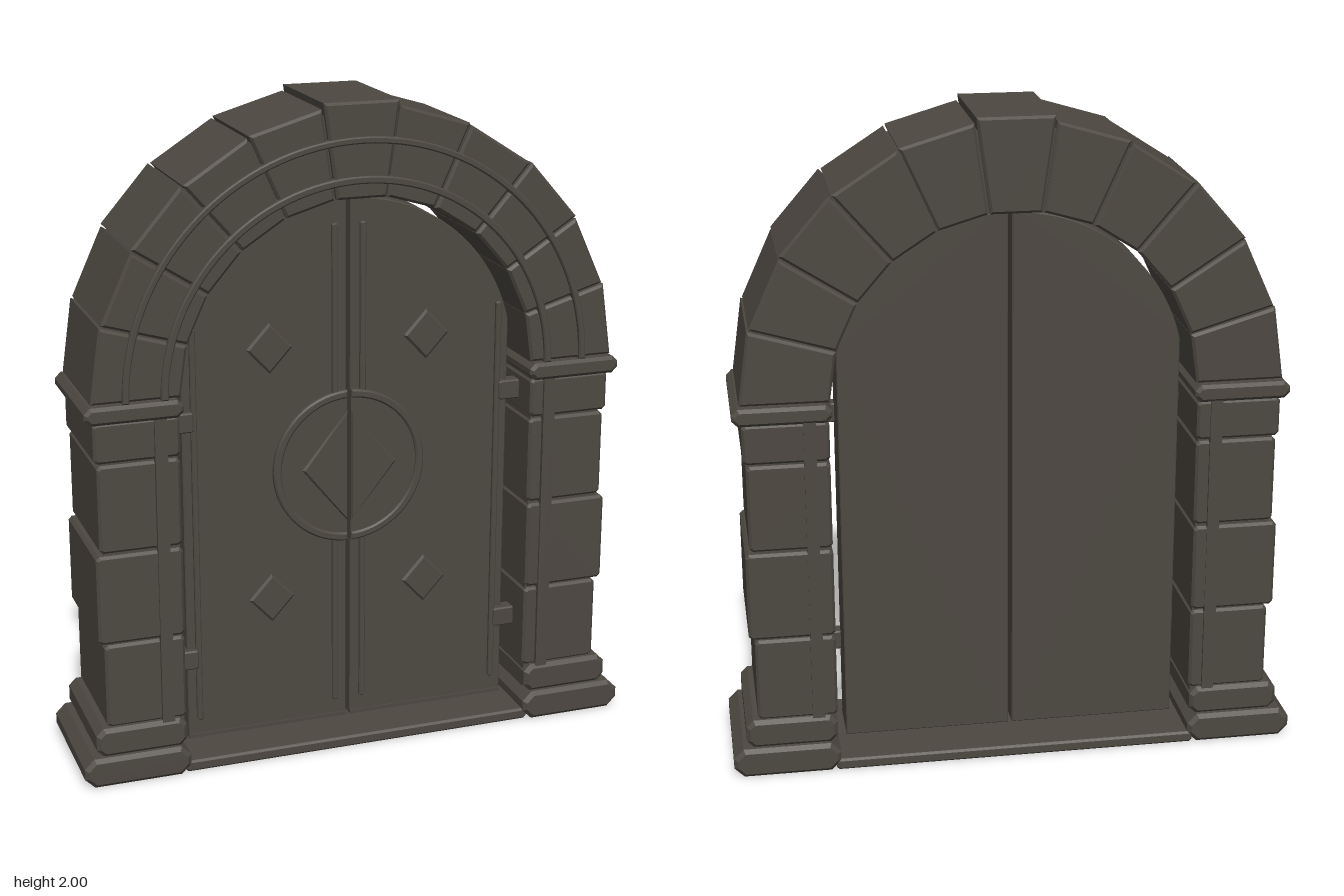
import * as THREE from 'three';

const stone = new THREE.MeshStandardMaterial({ color: 0x4d4841 });
stone.name = 'dark stone';

const ARCH_Y = 1.18;

export function createModel() {
  const model = new THREE.Group();
  model.name = 'archedDoorway';

  const add = (parent, name, geometry) => {
    const mesh = new THREE.Mesh(geometry, stone);
    mesh.name = name;
    parent.add(mesh);
    return mesh;
  };
  const group = (name) => {
    const g = new THREE.Group();
    g.name = name;
    model.add(g);
    return g;
  };

  // Extrudes a shape from z0 to z1 with a chamfer cut into its edges
  const slab = (shape, z0, z1, bevel = 0, curveSegments = 24) => {
    const geometry = new THREE.ExtrudeGeometry(shape, {
      depth: z1 - z0 - 2 * bevel, bevelEnabled: bevel > 0, bevelSegments: 1,
      bevelThickness: bevel, bevelSize: bevel, bevelOffset: -bevel, curveSegments,
    });
    return geometry.translate(0, 0, z0 + bevel);
  };
  const polygon = (points) => new THREE.Shape(points.map(([x, y]) => new THREE.Vector2(x, y)));

  // Block with chamfered edges: c in the front outline, b towards front and back
  const block = (x0, x1, y0, y1, z0, z1, c, b = c * 0.8) => slab(polygon([
    [x0 + c, y0], [x1 - c, y0], [x1, y0 + c], [x1, y1 - c],
    [x1 - c, y1], [x0 + c, y1], [x0, y1 - c], [x0, y0 + c],
  ]), z0, z1, b);

  const plainBox = (x0, x1, y0, y1, z0, z1) =>
    new THREE.BoxGeometry(x1 - x0, y1 - y0, z1 - z0)
      .translate((x0 + x1) / 2, (y0 + y1) / 2, (z0 + z1) / 2);

  const diamond = (x, y, w, h) => polygon([[x + w, y], [x, y + h], [x - w, y], [x, y - h]]);

  // Geometry is drawn on the +x side; this turns a copy over to the -x side
  const sided = (geometry, side) => {
    if (side > 0) return geometry;
    const g = geometry.index ? geometry.toNonIndexed() : geometry;
    g.scale(-1, 1, 1);
    for (const attribute of Object.values(g.attributes)) {
      const a = attribute.array, n = attribute.itemSize;
      for (let i = 0; i < a.length; i += 3 * n) {
        for (let k = 0; k < n; k++) {
          [a[i + n + k], a[i + 2 * n + k]] = [a[i + 2 * n + k], a[i + n + k]];
        }
      }
    }
    g.computeVertexNormals();
    return g;
  };

  // Threshold between the pillars
  add(model, 'threshold', block(-0.56, 0.56, 0, 0.035, -0.21, 0.203, 0.008));

  for (const side of [1, -1]) {
    const label = side > 0 ? 'left' : 'right';

    // Pillar: stepped base, stacked blocks, inner strip and capital
    const pillar = group(label + 'Pillar');
    const part = (name, geometry) => add(pillar, name, sided(geometry, side));
    part('plinth', block(0.545, 0.872, 0, 0.092, -0.215, 0.217, 0.03, 0.012));
    part('plinthStep', block(0.552, 0.83, 0.09, 0.18, -0.2, 0.203, 0.022, 0.012));
    part('pillarCore', plainBox(0.556, 0.783, 0.1, 1.15, -0.175, 0.175));
    const courses = [
      [0.178, 0.44, 0.793, 0.185], [0.447, 0.722, 0.81, 0.19],
      [0.729, 0.997, 0.797, 0.185], [1.004, 1.125, 0.805, 0.188],
    ];
    for (const [y0, y1, outer, depth] of courses) {
      part('pillarBlock', block(0.55, outer, y0, y1, -depth, depth, 0.01));
    }
    part('pillarStrip', plainBox(0.59, 0.627, 0.17, 1.13, -0.193, 0.197));
    part('capital', block(0.54, 0.832, 1.125, 1.178, -0.2, 0.208, 0.018, 0.01));

    // Thick door leaf with rounded top corner
    const door = group(label + 'Door');
    const leaf = (name, geometry) => add(door, name, sided(geometry, side));
    const r = 0.53, cy = 1.172, inner = 0.006, outer = 0.517;
    const panel = new THREE.Shape();
    panel.moveTo(inner, 0.05);
    panel.lineTo(outer, 0.05);
    panel.absarc(0, cy, r, Math.acos(outer / r), Math.acos(inner / r), false);
    panel.closePath();
    leaf('doorPanel', slab(panel, -0.078, 0.078, 0.003));
    leaf('doorFootRail', plainBox(inner, outer, 0.05, 0.062, 0.07, 0.084));

    // Raised vertical ribs
    const ribs = [[0.035, 0.11, 0.65], [0.035, 1.11, 1.63], [0.473, 0.11, 1.35]];
    for (const [x, y0, y1] of ribs) {
      leaf('doorRib', block(x, x + 0.018, y0, y1, 0.07, 0.09, 0.004));
    }

    // Small flat diamond studs
    for (const y of [0.48, 1.27]) {
      leaf('diamondStud', slab(diamond(0.247, y, 0.072, 0.078), 0.068, 0.089, 0.007));
    }

    // Half of the central medallion: disc, rim and large diamond
    const halfDisc = (radius) => {
      const s = new THREE.Shape();
      const a = Math.acos(inner / radius);
      s.absarc(0, 0.88, radius, -a, a, false);
      s.closePath();
      return s;
    };
    leaf('medallionDisc', slab(halfDisc(0.23), 0.068, 0.085));
    const rim = new THREE.Shape();
    const a = Math.acos(inner / 0.24), b = Math.acos(inner / 0.215);
    rim.absarc(0, 0.88, 0.24, -a, a, false);
    rim.absarc(0, 0.88, 0.215, b, -b, true);
    rim.closePath();
    leaf('medallionRim', slab(rim, 0.068, 0.095, 0.005));
    leaf('medallionDiamond', slab(
      polygon([[inner, 0.705], [0.15, 0.88], [inner, 1.055]]), 0.068, 0.096, 0.007));

    // Hinges joining the door to the pillar
    for (const y of [0.285, 1.04]) {
      leaf('hinge', block(0.485, 0.56, y, y + 0.06, 0.05, 0.098, 0.005));
    }
  }

  // Arch of eleven wedge stones with a taller keystone
  const arch = group('arch');
  const count = 11, step = Math.PI / count;
  for (let i = 0; i < count; i++) {
    const key = i === 5;
    const outer = key ? 0.827 : 0.81 - (i % 2) * 0.004;
    const a0 = i * step + 0.004, a1 = (i + 1) * step - 0.004;
    const at = (r, a) => [r * Math.cos(a), ARCH_Y + r * Math.sin(a)];
    const wedge = polygon([at(0.546, a0), at(outer, a0), at(outer, a1), at(0.546, a1)]);
    const depth = key ? 0.194 : 0.19;
    add(arch, key ? 'keystone' : 'archStone', slab(wedge, -depth + 0.006, depth + 0.004, 0.008));
  }

  // Half rings: a core closing the joints and two raised mouldings
  const halfRing = (name, r0, r1, z0, z1, bevel) => {
    const s = new THREE.Shape();
    s.absarc(0, ARCH_Y, r1, 0, Math.PI, false);
    s.absarc(0, ARCH_Y, r0, Math.PI, 0, true);
    s.closePath();
    add(arch, name, slab(s, z0, z1, bevel, 32));
  };
  halfRing('archCore', 0.547, 0.788, -0.172, 0.178, 0);
  halfRing('outerMoulding', 0.7, 0.72, 0.15, 0.207, 0.004);
  halfRing('innerMoulding', 0.585, 0.607, 0.15, 0.207, 0.004);

  return model;
}
